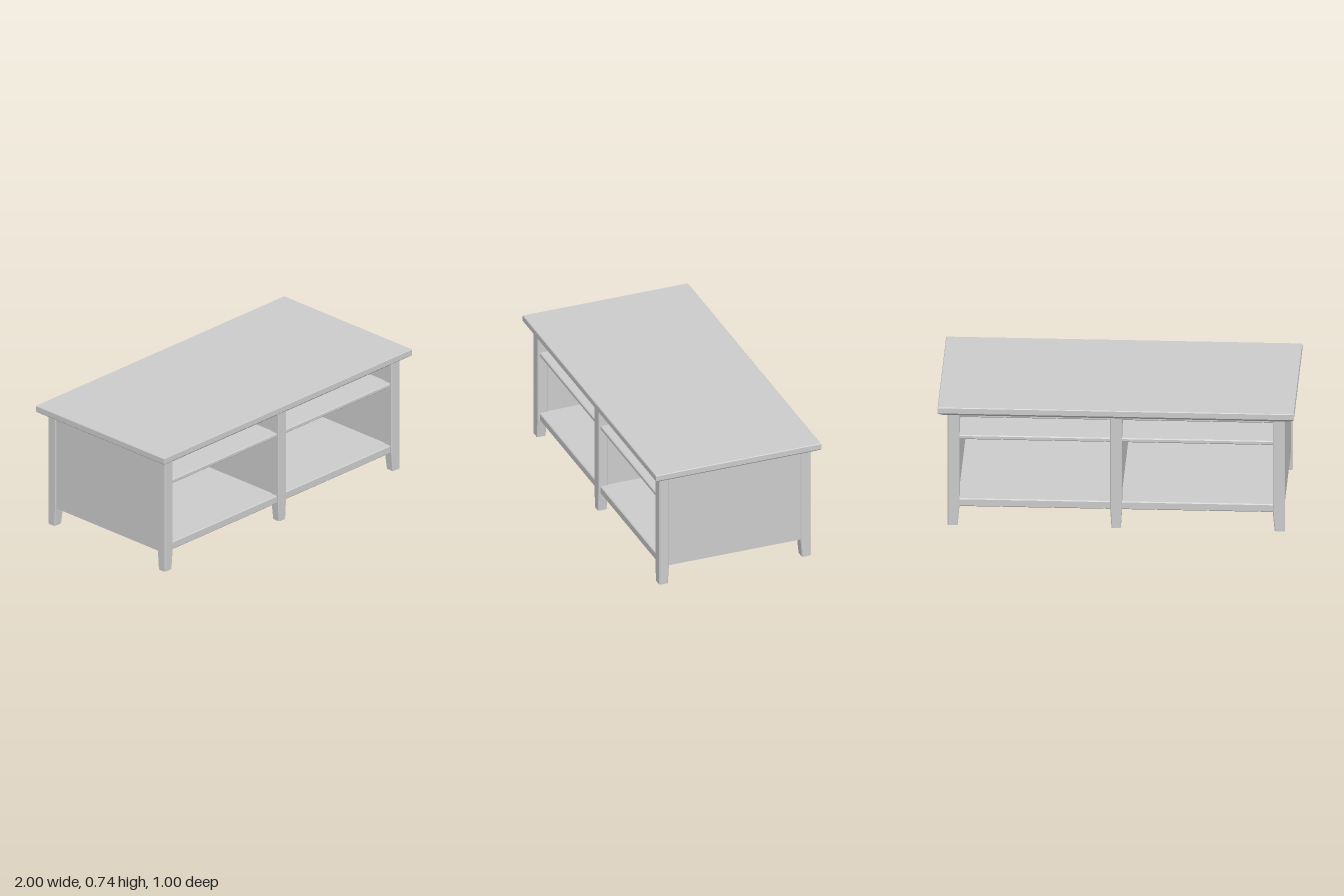
import * as THREE from 'three';

const material = new THREE.MeshStandardMaterial({ color: 0xcccccc, flatShading: true });

// Stacks rectangular cross-sections {y, x0, x1, z0, z1} with corners cut by c, bottom to top
function loft(name, sections, c = 0) {
  const rings = sections.map(({ y, x0, x1, z0, z1 }) => {
    const ring = c
      ? [[x0 + c, z1], [x1 - c, z1], [x1, z1 - c], [x1, z0 + c], [x1 - c, z0], [x0 + c, z0], [x0, z0 + c], [x0, z1 - c]]
      : [[x0, z1], [x1, z1], [x1, z0], [x0, z0]];
    return ring.map(([x, z]) => [x, y, z]);
  });
  const n = rings[0].length, positions = [];
  const tri = (a, b, d) => positions.push(...a, ...b, ...d);
  for (let i = 0; i < rings.length - 1; i++) {
    for (let j = 0; j < n; j++) {
      const k = (j + 1) % n, lo = rings[i], hi = rings[i + 1];
      tri(lo[j], lo[k], hi[k]);
      tri(lo[j], hi[k], hi[j]);
    }
  }
  const bottom = rings[0], top = rings[rings.length - 1];
  for (let j = 1; j < n - 1; j++) {
    tri(bottom[0], bottom[j + 1], bottom[j]);
    tri(top[0], top[j], top[j + 1]);
  }
  const geometry = new THREE.BufferGeometry();
  geometry.setAttribute('position', new THREE.Float32BufferAttribute(positions, 3));
  geometry.computeVertexNormals();
  const mesh = new THREE.Mesh(geometry, material);
  mesh.name = name;
  return mesh;
}

// Centred rectangle at height y
const rect = (y, hx, hz) => ({ y, x0: -hx, x1: hx, z0: -hz, z1: hz });

function box(name, w, h, d, x, y, z) {
  const mesh = new THREE.Mesh(new THREE.BoxGeometry(w, h, d), material);
  mesh.name = name;
  mesh.position.set(x, y, z);
  return mesh;
}

// Leg whose foot narrows on the inner sides only (both x sides for the middle legs)
function leg(name, sx, sz) {
  const section = (y, t) => {
    const xs = sx ? [sx * (0.88 + t), sx * 0.947] : [-0.033 + t * 0.7, 0.033 - t * 0.7];
    const zs = [sz * (0.397 + t * 0.8), sz * 0.457];
    return { y, x0: Math.min(...xs), x1: Math.max(...xs), z0: Math.min(...zs), z1: Math.max(...zs) };
  };
  return loft(name, [section(0, 0.01), section(0.115, 0), section(0.68, 0)], 0.005);
}

// Board with softened long edges
function board(name, x, y0, y1, hx, hz) {
  const e = 0.005;
  const mesh = loft(name, [rect(y0, hx, hz - e), rect(y0 + e, hx, hz), rect(y1 - e, hx, hz), rect(y1, hx, hz - e)]);
  mesh.position.x = x;
  return mesh;
}

export function createModel() {
  const group = new THREE.Group();
  group.name = 'coffeeTable';

  // Table top with a bevelled underside
  group.add(loft('tableTop', [
    rect(0.677, 0.968, 0.468), rect(0.695, 0.996, 0.496), rect(0.7, 1, 0.5),
    rect(0.731, 1, 0.5), rect(0.735, 0.997, 0.497),
  ]));

  // Six legs
  for (const sz of [1, -1]) {
    const end = sz > 0 ? 'front' : 'back';
    group.add(leg(`${end}LeftLeg`, 1, sz), leg(`${end}MiddleLeg`, 0, sz), leg(`${end}RightLeg`, -1, sz));
  }

  // Bottom board, shelves and upper boards of both bays
  for (const s of [1, -1]) {
    const side = s > 0 ? 'left' : 'right';
    group.add(board(`${side}BottomBoard`, s * 0.457, 0.11, 0.158, 0.457, 0.445));
    group.add(board(`${side}Shelf`, s * 0.456, 0.52, 0.545, 0.44, 0.445));
    group.add(board(`${side}UpperBoard`, s * 0.456, 0.655, 0.679, 0.44, 0.445));
    // Closed end between front and back legs
    group.add(box(`${side}SidePanel`, 0.053, 0.568, 0.81, s * 0.9135, 0.394, 0));
  }

  // Divider between the bays
  group.add(box('divider', 0.054, 0.568, 0.81, 0, 0.394, 0));
  return group;
}
